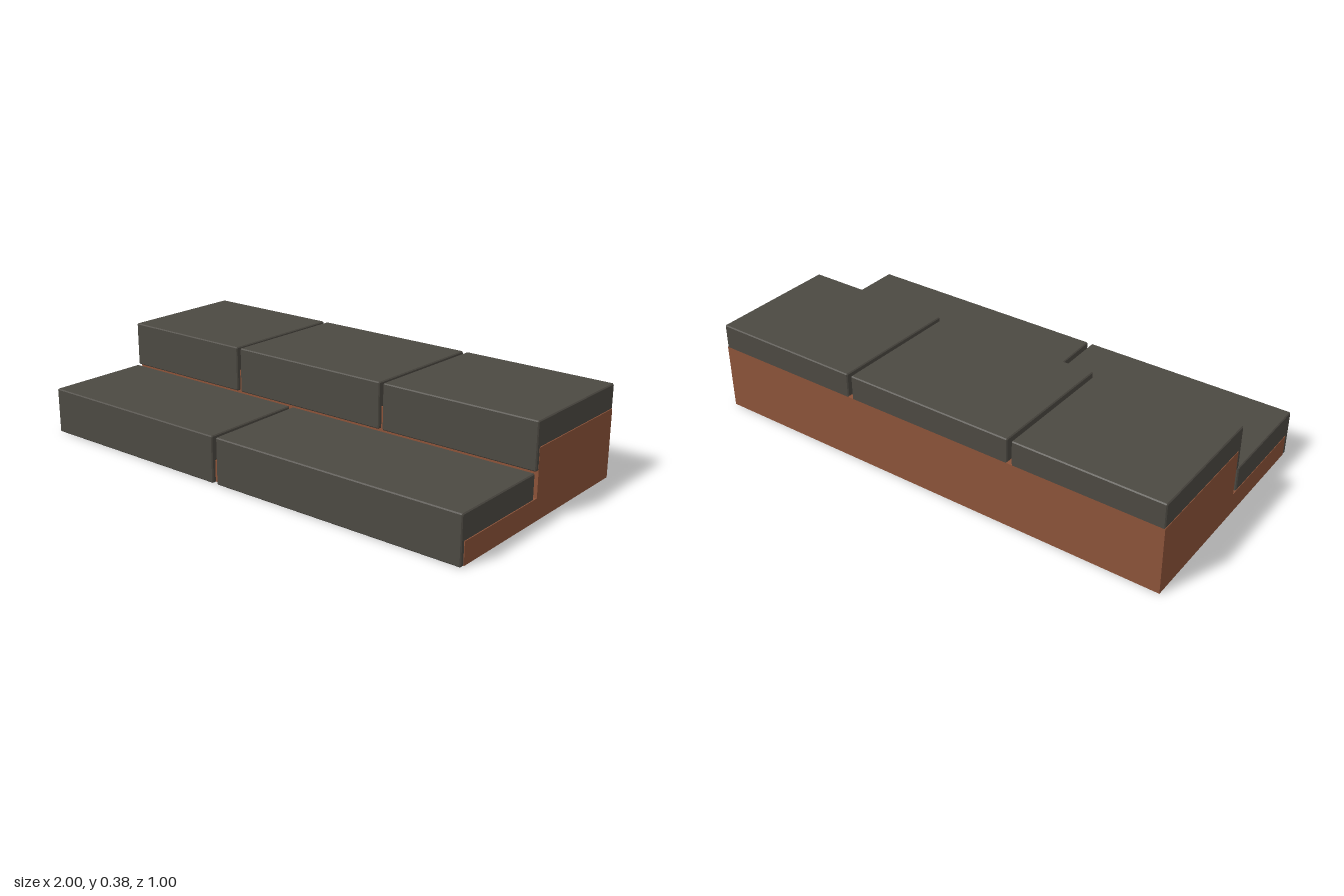
import * as THREE from 'three';

const BEVEL = 0.004;

// Extrude a [z, y] profile along x, from x0 to x1
function extrudeAlongX(profile, x0, x1, bevel) {
  const shape = new THREE.Shape(profile.map(([z, y]) => new THREE.Vector2(-z, y)));
  const geometry = new THREE.ExtrudeGeometry(shape, {
    depth: x1 - x0 - 2 * bevel,
    bevelEnabled: bevel > 0,
    bevelThickness: bevel,
    bevelSize: bevel,
    bevelOffset: -bevel,
    bevelSegments: 1,
  });
  geometry.rotateY(Math.PI / 2);
  geometry.translate(x0 + bevel, 0, 0);
  return geometry;
}

// Paving slab: a thick tread with a thin lip hanging over the front of the step.
// Each end is [x at back, x at front], so the joints can run slightly askew.
function slabGeometry(step, left, right) {
  const { back, front, top, under, lipBottom } = step;
  const lip = front - 0.02, b = BEVEL;
  const geometry = extrudeAlongX([
    [back, under], [lip, under], [lip, lipBottom], [front - b, lipBottom], [front, lipBottom + b],
    [front, top - b], [front - b, top], [back + b, top], [back, top - b],
  ], 0, 1, b);
  const p = geometry.attributes.position;
  for (let i = 0; i < p.count; i++) {
    const x = p.getX(i);
    const f = (p.getZ(i) - back) / (front - back);
    const a = THREE.MathUtils.lerp(left[0], left[1], f);
    const c = THREE.MathUtils.lerp(right[0], right[1], f);
    // Keep the end bevels at their true size while stretching the middle
    const nx = x < 0.5 ? a + x : c - (1 - x);
    p.setX(i, nx);
  }
  geometry.computeVertexNormals();
  return geometry;
}

export function createModel() {
  const group = new THREE.Group();
  group.name = 'steps';
  const stone = new THREE.MeshStandardMaterial({ color: 0x4c4942 });
  const clay = new THREE.MeshStandardMaterial({ color: 0x8c5339 });

  // Stepped core
  const base = new THREE.Mesh(extrudeAlongX([
    [-0.5, 0], [0.48, 0], [0.48, 0.087], [0.03, 0.087], [0.03, 0.275], [-0.5, 0.275],
  ], -1, 1, 0), clay);
  base.name = 'base';
  group.add(base);

  // Slab rows: each joint lists its two edges as [x at back, x at front]
  const rows = [
    {
      name: 'lowerSlab',
      step: { back: 0.053, front: 0.5, top: 0.188, under: 0.087, lipBottom: 0 },
      joints: [[[-0.113, -0.106], [-0.096, -0.086]]],
    },
    {
      name: 'upperSlab',
      step: { back: -0.5, front: 0.048, top: 0.375, under: 0.275, lipBottom: 0.19 },
      joints: [
        [[-0.393, -0.4], [-0.375, -0.383]],
        [[0.336, 0.326], [0.354, 0.342]],
      ],
    },
  ];
  for (const { name, step, joints } of rows) {
    for (let i = 0; i <= joints.length; i++) {
      const left = i === 0 ? [-1, -1] : joints[i - 1][1];
      const right = i === joints.length ? [1, 1] : joints[i][0];
      const slab = new THREE.Mesh(slabGeometry(step, left, right), stone);
      slab.name = name + (i + 1);
      group.add(slab);
    }
  }
  return group;
}
